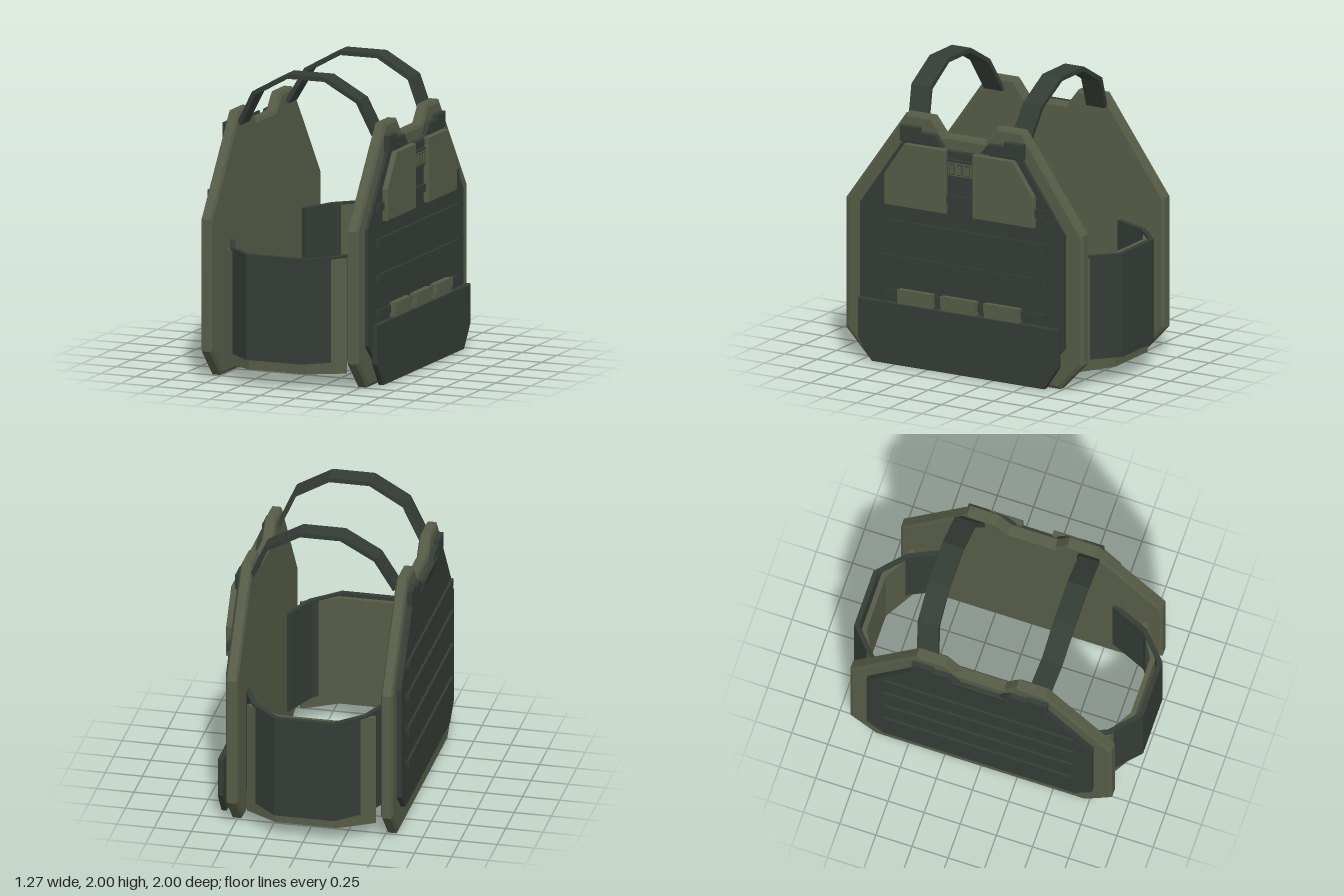
import * as THREE from 'three';

const olive = new THREE.MeshStandardMaterial({ color: 0x565c47 });
olive.name = 'olive fabric';
const dark = new THREE.MeshStandardMaterial({ color: 0x343c36 });
dark.name = 'dark green webbing';

const toShape = (pts) => new THREE.Shape(pts.map(([a, b]) => new THREE.Vector2(a, b)));
// complete a half outline (listed top to bottom) by mirroring it
const mirrored = (half) => [...half, ...half.map(([a, b]) => [-a, b]).reverse()];

function add(group, name, geometry, material) {
  const mesh = new THREE.Mesh(geometry, material);
  mesh.name = name;
  group.add(mesh);
  return mesh;
}

// flat slab with its outline in (z, y), filling x0..x1, with chamfered rims
function slab(pts, x0, x1, bevel = 0, inset = bevel) {
  const geo = new THREE.ExtrudeGeometry(toShape(pts), {
    depth: x1 - x0 - 2 * bevel, bevelEnabled: bevel > 0, bevelSegments: 1,
    bevelThickness: bevel, bevelSize: inset, bevelOffset: -inset,
  });
  return geo.rotateY(-Math.PI / 2).translate(x1 - bevel, 0, 0);
}

// box from its limits
function block(x0, x1, y0, y1, z0, z1) {
  return new THREE.BoxGeometry(x1 - x0, y1 - y0, z1 - z0)
    .translate((x0 + x1) / 2, (y0 + y1) / 2, (z0 + z1) / 2);
}

// bent band: an outer polyline thickened inward, extruded by depth
function band(outer, thickness, depth) {
  const p = outer.map(([a, b]) => new THREE.Vector2(a, b));
  const inner = p.map((q, i) => {
    const n0 = p[Math.min(i + 1, p.length - 1)].clone().sub(p[Math.min(i, p.length - 2)]).normalize();
    const n1 = p[Math.max(i, 1)].clone().sub(p[Math.max(i - 1, 0)]).normalize();
    const t = n0.clone().add(n1).normalize();
    const k = thickness / t.dot(n0);
    return new THREE.Vector2(q.x + t.y * k, q.y - t.x * k);
  });
  return new THREE.ExtrudeGeometry(new THREE.Shape([...p, ...inner.reverse()]), { depth, bevelEnabled: false });
}

const plateOutline = mirrored([[0.16, 1.605], [0.245, 1.715], [0.445, 1.715], [0.905, 1.07], [0.905, 0.185], [0.73, 0]]);
const panelOutline = mirrored([[0.2, 1.515], [0.26, 1.58], [0.42, 1.58], [0.78, 1.065], [0.78, 0.285], [0.66, 0.165]]);
const flapOutline = [[0.47, 1.635], [0.325, 1.635], [0.325, 1.605], [0.205, 1.605], [0.14, 1.53], [0.47, 1.53]];
const strapPath = [[-0.51, 1.64], [-0.385, 1.865], [-0.145, 2], [0.14, 2], [0.38, 1.865], [0.48, 1.64]];
const bandPath = [[-0.51, 0.58], [-0.395, 0.83], [-0.21, 1], [0.19, 1], [0.375, 0.83], [0.48, 0.58]];
const linerPath = [[-0.44, 0.81], [-0.215, 0.945], [0.2, 0.945], [0.43, 0.81]];
const rows = [1.19, 0.958, 0.717, 0.48];

export function createModel() {
  const model = new THREE.Group();
  model.name = 'plateCarrier';

  // chest and back plates with their covering panels
  add(model, 'chestPlate', slab(plateOutline, 0.463, 0.545, 0.012, 0.022), olive);
  add(model, 'backPlate', slab(plateOutline, -0.58, -0.5, 0.012, 0.022), olive);
  add(model, 'chestPanel', slab(panelOutline, 0.54, 0.567), dark);
  add(model, 'backPanel', slab(panelOutline, -0.613, -0.575), dark);

  // rows of webbing, stitched down at intervals
  for (const [name, x0, x1, inner] of [['chest', 0.577, 0.593, 0.56], ['back', -0.637, -0.621, -0.605]]) {
    for (const y of rows) {
      add(model, name + 'Webbing', block(x0, x1, y - 0.026, y + 0.026, -0.655, 0.655), dark);
      for (const z of [-0.65, -0.38, -0.19, 0, 0.19, 0.38, 0.65]) {
        const mid = (x0 + x1) / 2;
        add(model, name + 'Stitch',
          block(Math.min(inner, mid), Math.max(inner, mid), y - 0.022, y + 0.022, z - 0.005, z + 0.005), dark);
      }
    }
  }

  for (const s of [1, -1]) {
    // strap anchors over the shoulders
    const flap = flapOutline.map(([z, y]) => [s * z, y]);
    add(model, 'chestStrapAnchor', slab(flap, 0.54, 0.578, 0.004), dark);
    add(model, 'backStrapAnchor', slab(flap, -0.613, -0.575, 0.004), dark);

    // shoulder straps, drifting outward as they rise
    const strap = band(strapPath, 0.03, 0.145).translate(0, 0, -0.0725);
    const pos = strap.attributes.position;
    for (let i = 0; i < pos.count; i++) {
      const lift = Math.min(1, (pos.getY(i) - 1.62) / 0.27);
      pos.setZ(i, pos.getZ(i) + s * (0.39 + 0.042 * lift));
    }
    strap.computeVertexNormals();
    add(model, 'shoulderStrap', strap, dark);

    // side bands and the liners behind them
    const side = new THREE.Group();
    side.name = 'sideBand';
    const outer = band(bandPath, 0.033, 0.705).rotateX(Math.PI / 2).translate(0, 0.88, 0);
    const liner = band(linerPath, 0.032, 0.765).rotateX(Math.PI / 2).translate(0, 0.865, 0);
    for (const geo of [outer, liner]) {
      if (s < 0) {
        // turn to the far side while keeping the x offset
        geo.rotateY(Math.PI).translate(-0.02, 0, 0);
      }
    }
    add(side, 'bandOuter', outer, dark);
    add(side, 'bandLiner', liner, olive);
    model.add(side);

    // upper chest pouches
    const pouch = [[0.105, 1.525], [0.415, 1.525], [0.57, 1.3], [0.57, 1.09], [0.105, 1.09]];
    add(model, 'chestPouch', slab(pouch.map(([z, y]) => [s * z, y]), 0.575, 0.615, 0.004), olive);
  }

  // strip and small slotted carrier between the upper pouches
  add(model, 'centreStrip', block(0.56, 0.585, 1.465, 1.515, -0.1, 0.1), dark);
  add(model, 'slotCarrier', block(0.56, 0.594, 1.34, 1.46, -0.098, 0.098), dark);
  add(model, 'slotFace', block(0.59, 0.598, 1.355, 1.445, -0.09, 0.09), olive);
  for (const z of [-0.06, 0, 0.06]) {
    add(model, 'slotRim', block(0.595, 0.601, 1.363, 1.437, z - 0.02, z + 0.02), dark);
    add(model, 'slotInsert', block(0.598, 0.606, 1.37, 1.43, z - 0.015, z + 0.015), olive);
  }

  // lower pouch with three inserts showing above it
  const lower = mirrored([[0.765, 0.43], [0.765, 0.165], [0.66, 0.01]]);
  add(model, 'lowerPouch', slab(lower, 0.587, 0.627, 0.005), dark);
  add(model, 'lowerPouchBacking', block(0.56, 0.59, 0.2, 0.41, -0.6, 0.6), dark);
  for (const z of [-0.33, 0, 0.33]) {
    add(model, 'pouchInsert', block(0.582, 0.622, 0.38, 0.525, z - 0.132, z + 0.132), olive);
    add(model, 'insertTab', block(0.62, 0.634, 0.465, 0.53, z - 0.13, z + 0.13), olive);
  }

  // carry handle tilted out from the top of the back
  const handle = add(model, 'carryHandle', new THREE.BoxGeometry(0.012, 0.1, 0.36), dark);
  handle.position.set(-0.623, 1.545, 0);
  handle.rotation.z = 0.24;

  return model;
}
